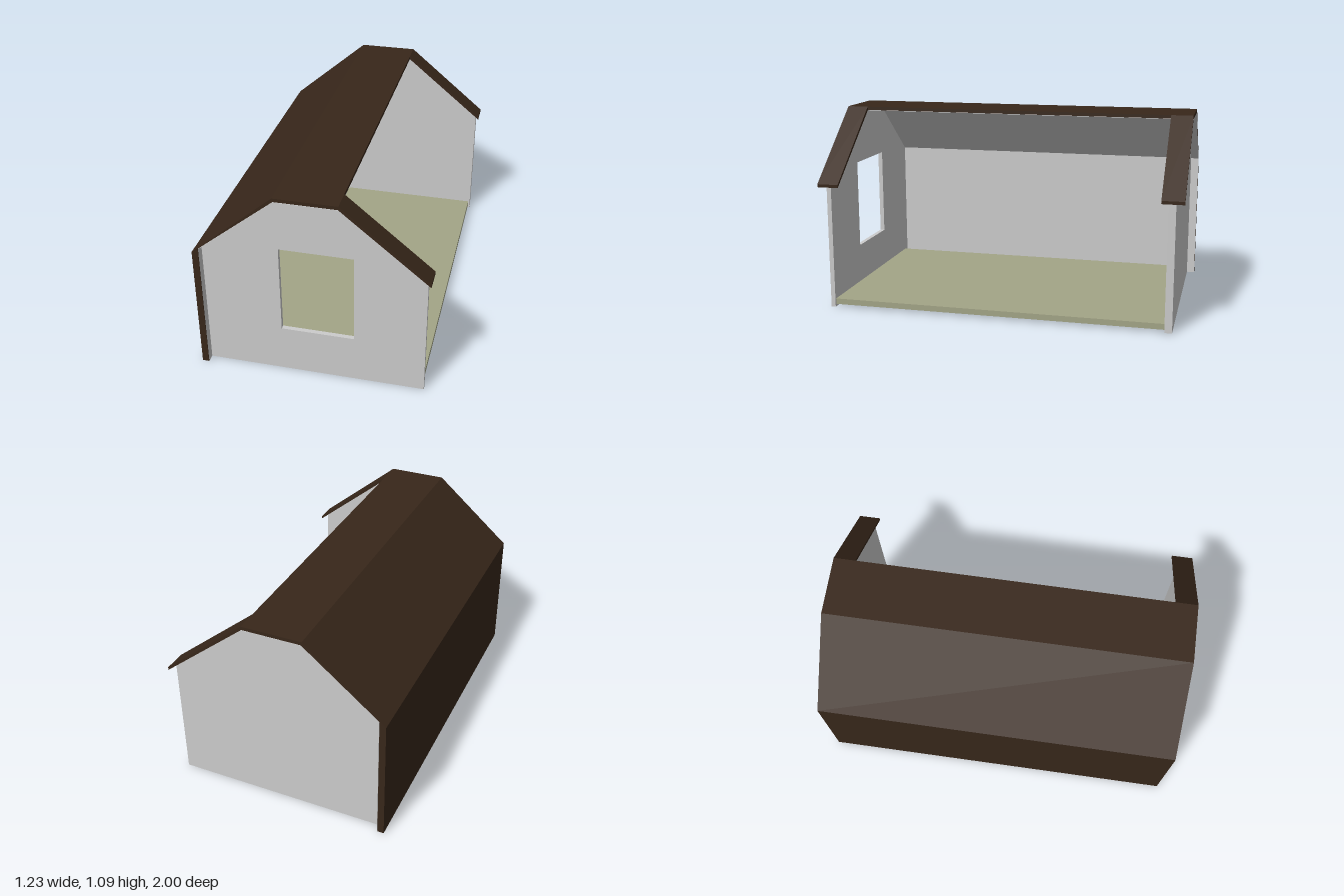
import * as THREE from 'three';

const grey = new THREE.MeshStandardMaterial({ color: 0xcccccc });
const greySheet = new THREE.MeshStandardMaterial({ color: 0xcccccc, side: THREE.DoubleSide });
const brown = new THREE.MeshStandardMaterial({ color: 0x38271a });
const olive = new THREE.MeshStandardMaterial({ color: 0xa3a587 });

const toShape = (pts) => new THREE.Shape(pts.map(([x, y]) => new THREE.Vector2(x, y)));

export function createModel() {
  const model = new THREE.Group();

  const add = (name, geometry, material) => {
    const mesh = new THREE.Mesh(geometry, material);
    mesh.name = name;
    model.add(mesh);
    return mesh;
  };

  // Extrudes an outline drawn in x, y from z0 to z1
  const extrude = (name, shape, z0, z1, material) => {
    const geometry = new THREE.ExtrudeGeometry(shape, { depth: z1 - z0, bevelEnabled: false });
    return add(name, geometry.translate(0, 0, z0), material);
  };

  // Gable walls, set back slightly from the roof ends; the front one has a window opening
  const gable = [[-0.58, 0], [0.595, 0], [0.595, 0.705], [0.155, 1.068], [-0.17, 1.068], [-0.58, 0.735]];
  const frontShape = toShape(gable);
  frontShape.holes.push(toShape([[-0.17, 0.265], [-0.17, 0.765], [0.22, 0.765], [0.22, 0.265]]));
  extrude('frontWall', frontShape, 0.93, 0.955, grey);
  extrude('backWall', toShape(gable), -0.955, -0.915, grey);

  // Closed side, left slope and flat ridge as one folded shell
  const inner = [[-0.58, 0], [-0.58, 0.735], [-0.17, 1.068], [0.155, 1.068]];
  const outer = [[0.155, 1.087], [-0.175, 1.087], [-0.615, 0.71], [-0.615, 0]];
  extrude('roofShell', toShape([...inner, ...outer]), -1, 1, brown);

  // Grey lining on the inside of the shell, one flat panel per fold
  const names = ['sideLining', 'slopeLining', 'ridgeLining'];
  names.forEach((name, i) => {
    const [ax, ay] = inner[i];
    const [bx, by] = inner[i + 1];
    const length = Math.hypot(bx - ax, by - ay);
    const panel = add(name, new THREE.PlaneGeometry(length, 2).rotateX(Math.PI / 2), greySheet);
    const angle = Math.atan2(by - ay, bx - ax);
    panel.rotation.z = angle;
    panel.position.set(
      (ax + bx) / 2 + Math.sin(angle) * 0.002,
      (ay + by) / 2 - Math.cos(angle) * 0.002,
      0
    );
  });

  // Short roof strips over both gables on the open side
  const strip = [[0.155, 1.066], [0.615, 0.69], [0.615, 0.707], [0.155, 1.087]];
  extrude('frontRoofStrip', toShape(strip), 0.88, 1, brown);
  extrude('backRoofStrip', toShape(strip), -1, -0.88, brown);

  // Raised floor between the gables
  const floor = add('floor', new THREE.BoxGeometry(1.125, 0.032, 1.845), olive);
  floor.position.set(0.0225, 0.03, 0.0075);

  return model;
}
